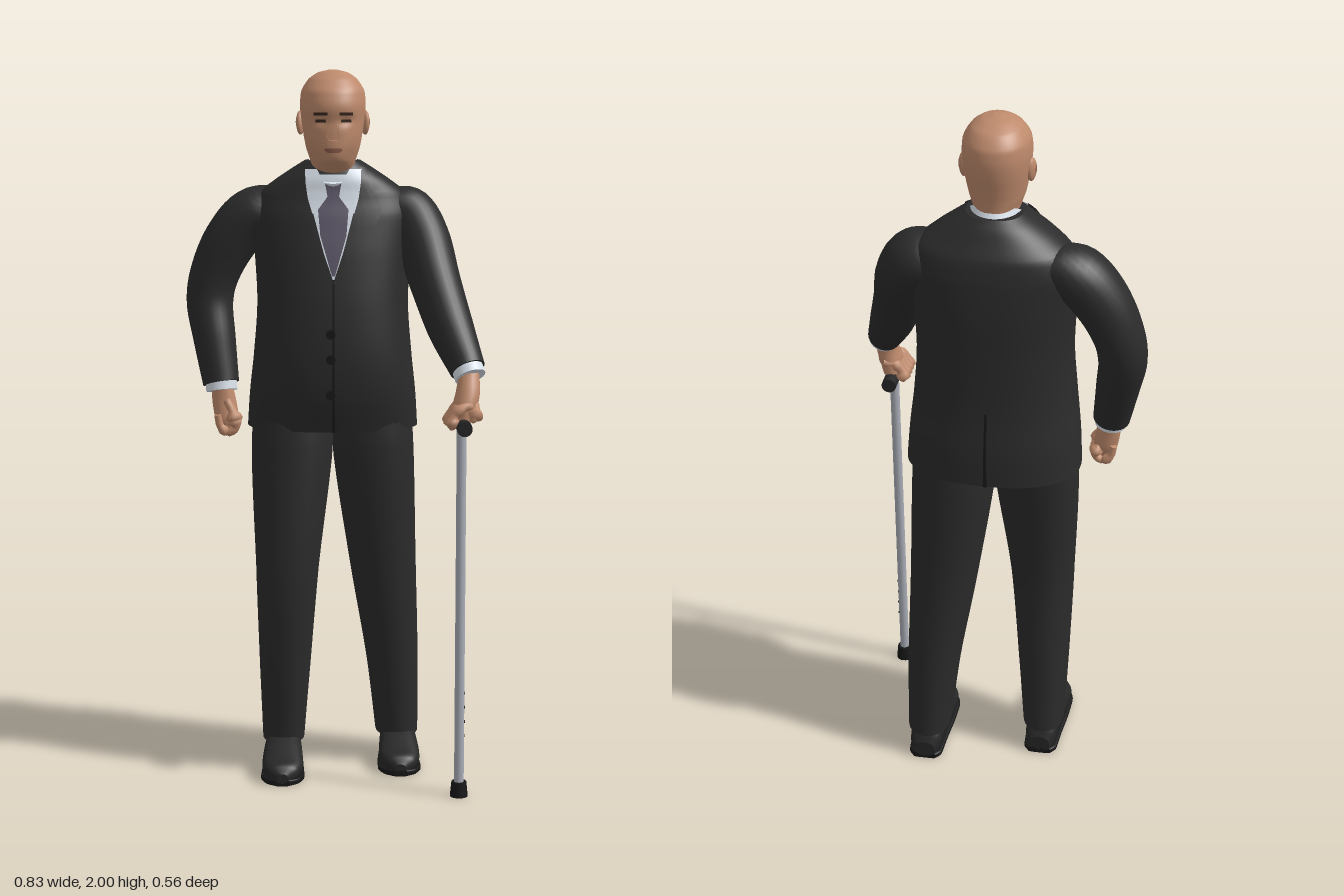
import * as THREE from 'three';

const paint = (name, color, side = THREE.FrontSide) => {
  const m = new THREE.MeshStandardMaterial({ color, side });
  m.name = name;
  return m;
};
const V = (x, y, z) => new THREE.Vector3(x, y, z);
const UP = V(0, 1, 0);

// Lofted skin through rings [x, y, z, halfWidth, halfDepth]; a fixed axis keeps the rings parallel
function loft(rings, { axis = null, seg = 28, steps = 6, n = 2, bend = null } = {}) {
  const path = new THREE.CatmullRomCurve3(rings.map(r => V(r[0], r[1], r[2])));
  const size = new THREE.CatmullRomCurve3(rings.map(r => V(r[3], r[4], 0)));
  const rows = (rings.length - 1) * steps;
  const pos = [], idx = [];
  const power = v => Math.sign(v) * Math.abs(v) ** (2 / n);
  for (let i = 0; i <= rows; i++) {
    const c = path.getPoint(i / rows), s = size.getPoint(i / rows);
    const t = axis ? axis.clone().normalize() : path.getTangent(i / rows);
    const u = V(1, 0, 0).addScaledVector(t, -t.x).normalize();
    const w = t.clone().cross(u);
    for (let j = 0; j < seg; j++) {
      const a = j / seg * Math.PI * 2;
      const p = c.clone().addScaledVector(u, s.x * power(Math.cos(a))).addScaledVector(w, s.y * power(Math.sin(a)));
      if (bend) bend(p);
      pos.push(p.x, p.y, p.z);
    }
  }
  for (let i = 0; i < rows; i++) for (let j = 0; j < seg; j++) {
    const a = i * seg + j, b = i * seg + (j + 1) % seg;
    idx.push(a, b, b + seg, a, b + seg, a + seg);
  }
  // Separate end caps keep the rims crisp
  for (const row of [0, rows]) {
    const start = pos.length / 3, c = path.getPoint(row / rows);
    if (bend) bend(c);
    for (let j = 0; j < seg * 3; j++) pos.push(pos[row * seg * 3 + j]);
    pos.push(c.x, c.y, c.z);
    for (let j = 0; j < seg; j++) {
      const a = start + j, b = start + (j + 1) % seg;
      idx.push(start + seg, row ? a : b, row ? b : a);
    }
  }
  const g = new THREE.BufferGeometry();
  g.setAttribute('position', new THREE.Float32BufferAttribute(pos, 3));
  g.setIndex(idx);
  g.computeVertexNormals();
  return g;
}

// Thin sheet laid over the front (dir 1) or back (dir -1) of a mesh; rows are [y, x0, x1]
function panel(target, rows, lift, dir = 1) {
  const ray = new THREE.Raycaster(), across = 8, sub = 5, pos = [], idx = [];
  const n = (rows.length - 1) * sub;
  let z = 0;
  for (let i = 0; i <= n; i++) {
    const k = Math.min(Math.floor(i / sub), rows.length - 2), f = i / sub - k;
    const [y, x0, x1] = rows[k].map((v, q) => THREE.MathUtils.lerp(v, rows[k + 1][q], f));
    for (let j = 0; j <= across; j++) {
      const x = THREE.MathUtils.lerp(x0, x1, j / across);
      ray.set(V(x, y, dir), V(0, 0, -dir));
      const hit = ray.intersectObject(target)[0];
      if (hit) z = hit.point.z;
      pos.push(x, y, z + lift * dir);
      const a = i * (across + 1) + j, b = a + across + 1;
      if (i < n && j < across) idx.push(...(dir > 0 ? [a, b, b + 1, a, b + 1, a + 1] : [a, b + 1, b, a, a + 1, b + 1]));
    }
  }
  const g = new THREE.BufferGeometry();
  g.setAttribute('position', new THREE.Float32BufferAttribute(pos, 3));
  g.setIndex(idx);
  g.computeVertexNormals();
  return g;
}

export function createModel() {
  const model = new THREE.Group();
  model.name = 'manWithCane';
  const suit = paint('charcoal suit', 0x2b2b2b, THREE.DoubleSide);
  const skin = paint('skin', 0xbe8a6c);
  const shirt = paint('pale shirt', 0xdde5ee, THREE.DoubleSide);
  const tie = paint('plum grey tie', 0x5a5566, THREE.DoubleSide);
  const leather = paint('shoe leather', 0x272727);
  const black = paint('black', 0x171717, THREE.DoubleSide);
  const metal = paint('cane metal', 0xa9adb6);
  const brow = paint('brow brown', 0x3a281f, THREE.DoubleSide);
  const lip = paint('lip', 0x8f5e4c, THREE.DoubleSide);
  const add = (name, geo, mat, x = 0, y = 0, z = 0) => {
    const m = new THREE.Mesh(geo, mat);
    m.name = name;
    m.position.set(x, y, z);
    model.add(m);
    return m;
  };

  // Jacket body
  const jacket = add('jacket', loft([
    [0, 1.0, -.11, .242, .158], [0, 1.1, -.095, .235, .17], [0, 1.2, -.085, .224, .169],
    [0, 1.35, -.088, .213, .162], [0, 1.5, -.1, .22, .15], [0, 1.6, -.108, .228, .135],
    [0, 1.66, -.11, .205, .12], [0, 1.7, -.1, .155, .105], [0, 1.73, -.095, .11, .09], [0, 1.75, -.09, .078, .075],
  ], { axis: UP, seg: 56, n: 2.3 }), suit);

  // Shirt front, tie and jacket details
  add('shirtFront', panel(jacket, [[1.715, -.072, .072], [1.65, -.066, .066], [1.6, -.054, .054], [1.5, -.026, .026], [1.43, -.002, .002]], .004), shirt);
  add('tie', panel(jacket, [[1.69, -.022, .022], [1.655, -.016, .016], [1.62, -.042, .042], [1.55, -.036, .036], [1.44, -.004, .004]], .008), tie);
  add('frontOpening', panel(jacket, [[1.43, -.003, .003], [1.2, -.003, .003], [1.0, -.003, .003]], .003), black);
  add('backVent', panel(jacket, [[1.22, -.003, .003], [1.0, -.005, .005]], .003, -1), black);
  for (const s of [-1, 1]) {
    const mirror = rows => rows.map(([y, a, b]) => s > 0 ? [y, a, b] : [y, -b, -a]);
    add('lapel', panel(jacket, mirror([[1.735, .074, .09], [1.66, .067, .12], [1.62, .058, .135], [1.5, .026, .085], [1.42, 0, .02]]), .012), suit);
    add('shirtCollarWing', panel(jacket, mirror([[1.73, .045, .078], [1.69, .022, .076], [1.65, .03, .07], [1.61, .052, .058]]), .014), shirt);
    add('pocketFlap', panel(jacket, mirror([[1.19, .085, .18], [1.135, .085, .185]]), .009), suit);
  }
  for (const y of [1.28, 1.21, 1.11]) {
    const button = new THREE.CylinderGeometry(.013, .013, .012, 14).rotateX(Math.PI / 2);
    add('button', button, black, -.008, y, .083);
  }

  // Head and neck: [y, front z, back z, half width]
  const profile = [
    [1.64, -.02, -.14, .058], [1.715, -.005, -.145, .062], [1.738, .025, -.147, .062], [1.755, .048, -.148, .064],
    [1.785, .056, -.151, .074], [1.82, .056, -.158, .081], [1.86, .055, -.167, .087], [1.9, .058, -.172, .091],
    [1.94, .046, -.168, .088], [1.975, .015, -.142, .067], [1.993, -.015, -.105, .04], [2.0, -.045, -.075, .01]];
  const head = add('head', loft(profile.map(([y, f, b, a]) => [0, y, (f + b) / 2, a, (f - b) / 2]), {
    axis: UP, seg: 48, n: 2.15,
    bend: p => {  // eye sockets and tapering chin
      if (p.z < -.02) return;
      const d = ((Math.abs(p.x) - .034) / .018) ** 2 + ((p.y - 1.862) / .013) ** 2;
      p.z -= .009 * Math.exp(-d);
      p.x *= 1 - .18 * THREE.MathUtils.smoothstep(1.82 - p.y, 0, .07) * THREE.MathUtils.smoothstep(p.z, -.02, .04);
    },
  }), skin);
  add('nose', loft([[0, 1.882, .05, .008, .008], [0, 1.85, .057, .009, .013], [0, 1.824, .061, .016, .02], [0, 1.81, .056, .013, .012]], { axis: UP, seg: 16 }), skin);
  add('mouth', panel(head, [[1.789, -.022, .022], [1.784, -.026, .026], [1.777, -.016, .016]], .004), lip);
  for (const s of [-1, 1]) {
    const [x0, x1] = s > 0 ? [.016, .054] : [-.054, -.016];
    add('eyebrow', panel(head, [[1.886, x0, x1], [1.878, x0, x1]], .004), brow);
    add('eye', panel(head, [[1.867, x0 + .006, x1 - .006], [1.859, x0 + .004, x1 - .004]], .003), brow);
    const ear = add('ear', new THREE.SphereGeometry(1, 18, 14), skin, s * .09, 1.855, -.062);
    ear.scale.set(.011, .034, .021);
    ear.rotation.set(-.15, s * .3, 0);
    const hollow = add('earHollow', new THREE.SphereGeometry(1, 12, 10), lip, s * .097, 1.857, -.058);
    hollow.scale.set(.006, .018, .009);
  }
  add('shirtCollar', loft([[0, 1.7, -.078, .078, .092], [0, 1.735, -.06, .072, .09]], { axis: V(0, .87, .5), seg: 36, steps: 2 }), shirt);

  // Sleeves and cuffs
  add('rightSleeve', loft([
    [-.15, 1.615, -.12, .06, .085], [-.225, 1.593, -.125, .078, .09], [-.29, 1.52, -.125, .076, .084],
    [-.337, 1.42, -.125, .069, .074], [-.348, 1.35, -.118, .066, .068], [-.335, 1.25, -.09, .06, .062], [-.316, 1.125, -.055, .051, .05]]), suit);
  add('leftSleeve', loft([
    [.15, 1.615, -.12, .06, .085], [.212, 1.592, -.11, .08, .09], [.25, 1.53, -.07, .078, .088],
    [.283, 1.42, .01, .071, .078], [.322, 1.3, .09, .064, .066], [.365, 1.195, .167, .049, .048]]), suit);
  add('rightCuff', loft([[-.317, 1.14, -.058, .045, .043], [-.314, 1.105, -.05, .044, .042]], { steps: 2 }), shirt);
  add('leftCuff', loft([[.36, 1.21, .158, .043, .042], [.371, 1.177, .18, .043, .042]], { steps: 2 }), shirt);

  // Hands with curled fingers
  const finger = (name, pts, r) => {
    add(name, loft(pts.map((p, i) => [...p, r * (i ? 1 : .9), r * (i ? 1 : .9)]).concat([[...pts.at(-1).map((v, k) => v + (v - pts.at(-2)[k]) * .3), r * .3, r * .3]]), { seg: 10, steps: 3 }), skin);
  };
  add('rightHand', loft([[-.313, 1.125, -.053, .028, .028], [-.307, 1.075, -.048, .034, .026], [-.3, 1.03, -.042, .034, .028], [-.295, 1.0, -.036, .022, .02]], { axis: UP.clone().negate(), seg: 20 }), skin);
  for (let i = 0; i < 4; i++) {
    const z = -.068 + i * .018;
    finger('rightFinger', [[-.325, 1.04, z], [-.316, 1.005, z], [-.293, .99, z + .003], [-.274, 1.005, z + .004], [-.28, 1.03, z + .004]], .011);
  }
  finger('rightThumb', [[-.3, 1.08, -.025], [-.283, 1.05, -.014], [-.276, 1.02, -.012]], .012);
  add('leftHand', loft([[.368, 1.19, .176, .027, .027], [.364, 1.14, .196, .033, .036], [.356, 1.1, .203, .034, .045], [.352, 1.062, .205, .028, .046]], { axis: UP.clone().negate(), seg: 20 }), skin);
  for (let i = 0; i < 4; i++) {
    const z = .172 + i * .024;
    finger('leftFinger', [[.372, 1.105, z - .008], [.346, 1.1, z], [.322, 1.08, z + .003], [.318, 1.05, z + .004]], .013);
  }
  finger('leftThumb', [[.375, 1.13, .2], [.383, 1.095, .225], [.376, 1.07, .245]], .012);

  // Trousers
  add('rightTrouserLeg', loft([
    [-.112, 1.05, -.1, .113, .13], [-.115, .95, -.085, .116, .125], [-.13, .6, -.047, .09, .106],
    [-.138, .3, -.06, .073, .097], [-.143, .08, -.08, .06, .083]], { axis: UP.clone().negate(), n: 2.2 }), suit);
  add('leftTrouserLeg', loft([
    [.112, 1.05, -.1, .113, .13], [.115, .95, -.1, .116, .134], [.145, .6, -.115, .096, .116],
    [.175, .3, -.138, .075, .104], [.189, .08, -.15, .062, .092]], { axis: UP.clone().negate(), n: 2.2 }), suit);

  // Shoes: [z along the foot, half width, half height]
  const shoeRows = [[0, .03, .025], [.02, .044, .042], [.1, .049, .055], [.18, .056, .044], [.25, .058, .031], [.293, .042, .024], [.31, .016, .014]];
  for (const [name, x, z, out] of [['right', -.142, -.165, -.004], ['left', .19, -.245, .002]]) {
    add(name + 'Shoe', loft(shoeRows.map(([d, a, b]) => [x + out * d / .31, b + .008, z + d, a, b]), { axis: V(0, 0, 1), n: 2.5 }), leather);
    add(name + 'Sole', loft(shoeRows.map(([d, a]) => [x + out * d / .31, .009, z + d, a + .004, .009]), { axis: V(0, 0, 1), n: 5 }), black);
  }

  // Walking cane
  const top = V(.348, 1.04, .195), foot = V(.348, .02, .228);
  add('caneShaft', new THREE.TubeGeometry(new THREE.LineCurve3(foot, top), 1, .0135, 16), metal);
  add('caneFerrule', new THREE.CylinderGeometry(.021, .025, .042, 20), black, .348, .021, .227);
  add('caneHandle', new THREE.CylinderGeometry(.021, .021, .158, 20).rotateX(Math.PI / 2), leather, .35, 1.05, .206);
  for (let i = 0; i < 4; i++) {
    const p = foot.clone().lerp(top, .15 + i * .04);
    add('canePinHole', new THREE.CylinderGeometry(.004, .004, .003, 10).rotateZ(Math.PI / 2), black, p.x + .0135, p.y, p.z);
  }
  return model;
}
